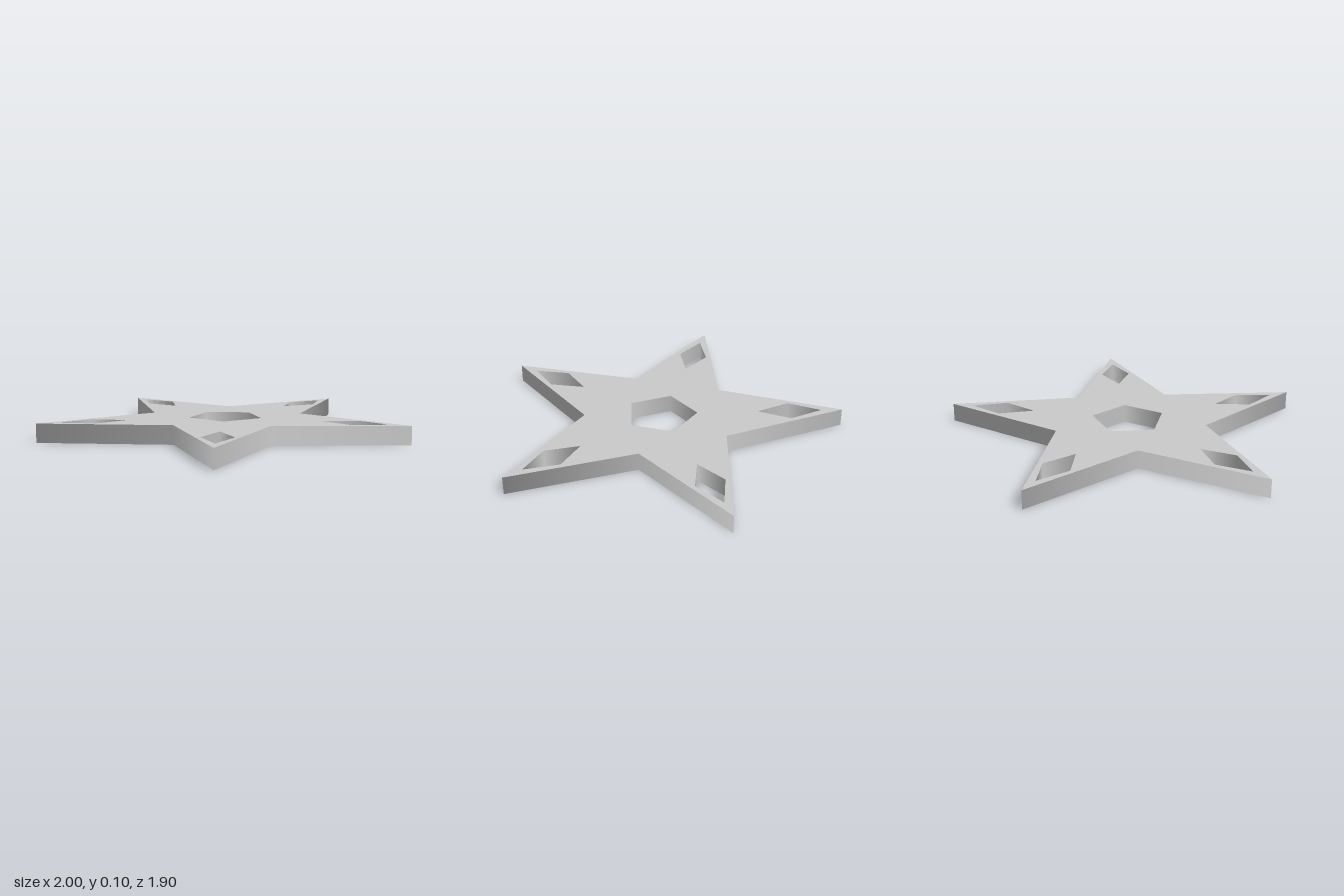
import * as THREE from 'three';

const ARMS = 5;
const STEP = (Math.PI * 2) / ARMS;
const TIP = 1.0515, NOTCH = 0.44, CENTRE_HOLE = 0.21, THICKNESS = 0.105;

// Point at a radius and anticlockwise angle from the rear arm, with optional sideways offset
function polar(radius, angle, side = 0) {
  return new THREE.Vector2(
    -radius * Math.sin(angle) - side * Math.cos(angle),
    radius * Math.cos(angle) - side * Math.sin(angle)
  );
}

// Blend the upright walls around every corner, leaving the flat faces sharp
function smoothWalls(geometry) {
  const { position, normal } = geometry.attributes;
  const sums = new Map();
  const wall = [];
  for (let i = 0; i < position.count; i++) {
    const n = new THREE.Vector3().fromBufferAttribute(normal, i);
    if (Math.abs(n.y) > 0.5) continue;
    const key = `${position.getX(i).toFixed(3)},${position.getZ(i).toFixed(3)}`;
    if (!sums.has(key)) sums.set(key, new THREE.Vector3());
    sums.get(key).add(n);
    wall.push([i, key]);
  }
  for (const sum of sums.values()) sum.normalize();
  for (const [i, key] of wall) normal.setXYZ(i, ...sums.get(key));
}

export function createModel() {
  const group = new THREE.Group();
  const outline = [], pentagon = [], holes = [];

  for (let i = 0; i < ARMS; i++) {
    const a = i * STEP;
    outline.push(polar(TIP, a), polar(NOTCH, a + STEP / 2));
    pentagon.push(polar(CENTRE_HOLE, a));
    // Diamond cut-out in each arm
    holes.push(new THREE.Path([
      polar(0.93, a), polar(0.745, a, 0.085), polar(0.56, a), polar(0.745, a, -0.085)
    ]));
  }
  // Pentagon cut-out in the middle
  holes.push(new THREE.Path(pentagon));

  // Flat star plate, laid down with its rear arm towards -z
  const shape = new THREE.Shape(outline);
  shape.holes = holes;
  const geometry = new THREE.ExtrudeGeometry(shape, { depth: THICKNESS, bevelEnabled: false });
  geometry.rotateX(-Math.PI / 2);
  geometry.translate(0, 0, 0.1);
  smoothWalls(geometry);

  const star = new THREE.Mesh(geometry, new THREE.MeshStandardMaterial({ color: 0xcccccc }));
  star.name = 'starPlate';
  group.add(star);
  return group;
}
